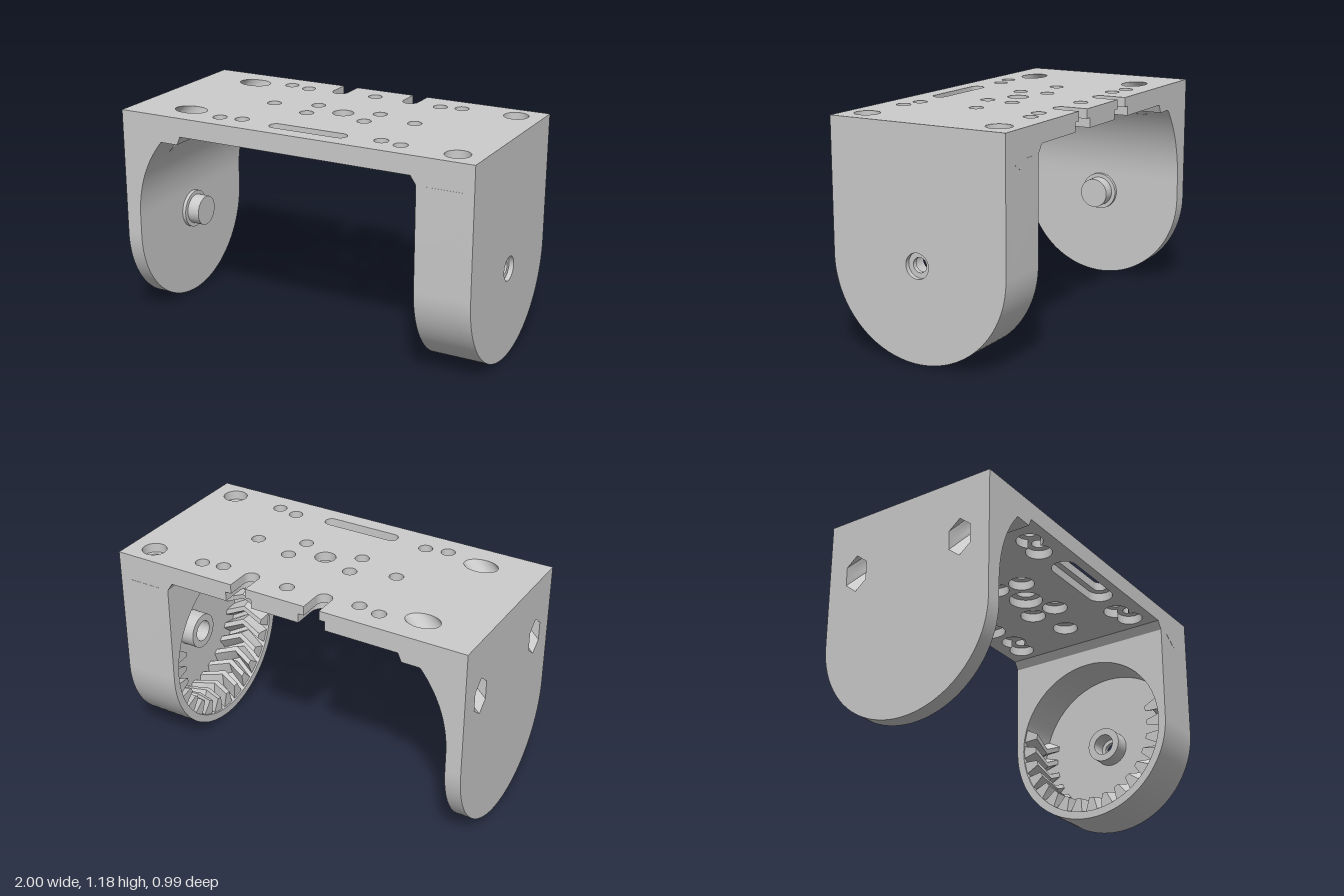
import * as THREE from 'three';
import { toCreasedNormals } from 'three/addons/utils/BufferGeometryUtils.js';

const D = 0.493, TOP = 1.18, UNDER = 1.08, SEAM = 1.035, AXIS = 0.493;
const mat = new THREE.MeshStandardMaterial({ color: 0xcccccc });
const thin = new THREE.MeshStandardMaterial({ color: 0xcccccc, side: THREE.DoubleSide });

export function createModel() {
  const root = new THREE.Group();
  const add = (name, geo, m = mat) => {
    const mesh = new THREE.Mesh(toCreasedNormals(geo, 0.5), m);
    mesh.name = name;
    root.add(mesh);
    return mesh;
  };
  const poly = (pts) => new THREE.Shape(pts.map(([x, y]) => new THREE.Vector2(x, y)));
  const circle = (x, y, r) => new THREE.Path().absarc(x, y, r, 0, Math.PI * 2);
  const extrude = (shape, depth) =>
    new THREE.ExtrudeGeometry(shape, { depth, bevelEnabled: false, curveSegments: 32 });
  // Extrusions along y (shape y = -z), along x (shape x = -z) and along z
  const alongY = (s, y0, y1) => extrude(s, y1 - y0).rotateX(-Math.PI / 2).translate(0, y0, 0);
  const alongX = (s, x0, x1) => extrude(s, x1 - x0).rotateY(Math.PI / 2).translate(x0, 0, 0);
  const alongZ = (s, d = D) => extrude(s, 2 * d).translate(0, 0, -d);
  // Surface made by moving the vertices of a plane: f(u, row) -> [x, y, z]
  const sheet = (n, rows, f) => {
    const g = new THREE.PlaneGeometry(1, 1, n, rows);
    const p = g.attributes.position;
    for (let i = 0; i < p.count; i++) p.setXYZ(i, ...f(i % (n + 1), Math.floor(i / (n + 1))));
    return g;
  };
  // Two joined round holes; a = PI/2 gives a straight slot, smaller gives a figure eight
  const twin = (x0, y0, x1, y1, r, a) => {
    const th = Math.atan2(y1 - y0, x1 - x0);
    return new THREE.Path()
      .absarc(x1, y1, r, th - Math.PI + a, th + Math.PI - a)
      .absarc(x0, y0, r, th + a, th + 2 * Math.PI - a)
      .closePath();
  };

  // Top plate: upper layer with through holes, lower layer with wider counterbores
  const X0 = -0.57;
  const single = [[0.05, 0.37], [-0.365, 0], [0.46, 0], [-0.135, 0.07], [0.23, 0.07], [-0.12, -0.085], [0.215, -0.085]];
  const pairs = [];
  for (const s of [1, -1])
    pairs.push([-0.47, 0.37 * s, -0.35, 0.348 * s], [0.445, 0.348 * s, 0.56, 0.37 * s]);
  const plateShape = (notch, hole, centre, screw, lower) => {
    const s = new THREE.Shape().moveTo(X0, -D).lineTo(1, -D).lineTo(1, D);
    for (const x of [0.26, -0.165])
      s.lineTo(x + notch, D).lineTo(x + notch, 0.373)
        .absarc(x, 0.373, notch, 0, -Math.PI, true).lineTo(x - notch, D);
    s.lineTo(X0, D).closePath();
    for (const [x, y] of single) s.holes.push(circle(x, y, hole));
    for (const [x0, y0, x1, y1] of pairs) {
      if (lower) s.holes.push(twin(x0, y0, x1, y1, hole, Math.acos(Math.hypot(x1 - x0, y1 - y0) / 2 / hole)));
      else s.holes.push(circle(x0, y0, hole), circle(x1, y1, hole));
    }
    s.holes.push(circle(0.05, 0, centre), twin(-0.135, -0.37, 0.23, -0.37, hole, Math.PI / 2));
    for (const y of [0.375, -0.375]) s.holes.push(circle(0.86, y, screw));
    return s;
  };
  add('plateUpper', alongY(plateShape(0.043, 0.037, 0.055, 0.065, false), 1.13, TOP));
  add('plateLower', alongY(plateShape(0.075, 0.07, 0.092, 0.04, true), UNDER, 1.13));

  // Plain side: curved corner block with slanted bolt tunnels
  const fillet = new THREE.QuadraticBezierCurve(
    new THREE.Vector2(-0.915, 0.6), new THREE.Vector2(-0.915, 0.85), new THREE.Vector2(-0.76, SEAM));
  const inner = [[-0.915, AXIS], ...fillet.getPoints(20).map((p) => [p.x, p.y]),
    [-0.66, SEAM], [-0.64, UNDER], [X0, UNDER]];
  const profile = poly([...inner, [X0, TOP], [-1, TOP], [-1, AXIS]]);
  for (const z of [D, -D]) add('cornerSide', new THREE.ShapeGeometry(profile).translate(0, 0, z), thin);
  add('cornerUnderside', sheet(inner.length - 1, 1, (i, row) => [...inner[i], row ? D : -D]), thin);

  const R = 0.065, HEX = 0.072, CX = -0.68, CY = TOP - (CX + 1), SQ = Math.SQRT1_2;
  const hexR = (t) => (HEX * Math.cos(Math.PI / 6)) / Math.cos((t % (Math.PI / 3)) - Math.PI / 6);
  const topFace = poly([[-1, -D], [X0, -D], [X0, D], [-1, D]]);
  const outerFace = poly([[-D, AXIS], [D, AXIS], [D, TOP], [-D, TOP]]);
  for (const z of [0.32, -0.32]) {
    topFace.holes.push(new THREE.Path().absellipse(CX, -z, R / SQ, R, 0, Math.PI * 2));
    const hex = [];
    for (let i = 0; i < 6; i++) {
      const t = (i * Math.PI) / 3;
      hex.push(new THREE.Vector2(z + HEX * Math.sin(t), CY + (HEX / SQ) * Math.cos(t)));
    }
    outerFace.holes.push(new THREE.Path(hex));
    // Round bore from the top, widening to a hexagonal nut pocket at the outer face
    add('boltTunnel', sheet(48, 3, (i, row) => {
      const t = ((i % 48) / 48) * Math.PI * 2;
      const r = row < 2 ? R : hexR(t);
      const k = r * Math.cos(t) * SQ;
      let s = -0.2 * SQ;
      if (row === 0) s = k;
      if (row === 3) s = -1 - CX - k;
      return [CX + k + s, TOP - k + s, z + r * Math.sin(t)];
    }));
  }
  add('cornerTop', new THREE.ShapeGeometry(topFace, 32).rotateX(-Math.PI / 2).translate(0, TOP, 0), thin);
  add('cornerOuterFace', new THREE.ShapeGeometry(outerFace).rotateY(-Math.PI / 2).translate(-1, 0, 0), thin);

  // Plain side: rounded lower leg with pivot
  const halfDisc = new THREE.Shape().absarc(0, AXIS, D, Math.PI, Math.PI * 2).closePath();
  add('plainLeg', alongX(halfDisc, -1, -0.915));
  const disc = (r) => new THREE.Shape().absarc(0, AXIS, r, 0, Math.PI * 2);
  add('pivotCollar', alongX(disc(0.105), -0.92, -0.895));
  add('pivotPin', alongX(disc(0.083), -0.92, -0.825));

  // Gear side: block under the plate and the V-shaped joint
  add('gearLegTop', alongZ(poly([[0.7, SEAM], [1, SEAM], [1, UNDER], [0.67, UNDER]])));
  add('jointWedge', alongZ(poly([[0.755, SEAM], [0.85, 0.975], [0.945, SEAM]]), D + 0.001));

  // Gear side: hollow housing, stepped axle hole and inner bearing
  const housing = (hole) => {
    const s = new THREE.Shape().moveTo(D, SEAM).lineTo(-D, SEAM).lineTo(-D, AXIS)
      .absarc(0, AXIS, D, Math.PI, Math.PI * 2).closePath();
    s.holes.push(circle(0, AXIS, hole));
    return s;
  };
  add('gearHousing', alongX(housing(0.45), 0.7, 0.95));
  add('housingFloor', alongX(housing(0.038), 0.95, 0.975));
  add('housingOuterFace', alongX(housing(0.065), 0.975, 1));
  const ring = disc(0.1);
  ring.holes.push(circle(0, AXIS, 0.06));
  add('bearing', alongX(ring, 0.86, 0.951));

  // Herringbone teeth around the lower inside of the housing
  for (let n = -8; n <= 8; n++) {
    const g = new THREE.BoxGeometry(1, 1, 1, 1, 1, 2);
    const p = g.attributes.position;
    for (let i = 0; i < p.count; i++) {
      const y = p.getY(i), z = p.getZ(i);
      const r = 0.455 - (y + 0.5) * 0.085;
      const half = y > 0 ? 0.04 : 0.085;
      const a = Math.PI + (n * 2 * Math.PI) / 28 + 2 * p.getX(i) * half - 0.15 * (1 - 2 * Math.abs(z));
      p.setXYZ(i, 0.83 + z * 0.24, AXIS + r * Math.cos(a), r * Math.sin(a));
    }
    add('gearTooth', g);
  }
  return root;
}
